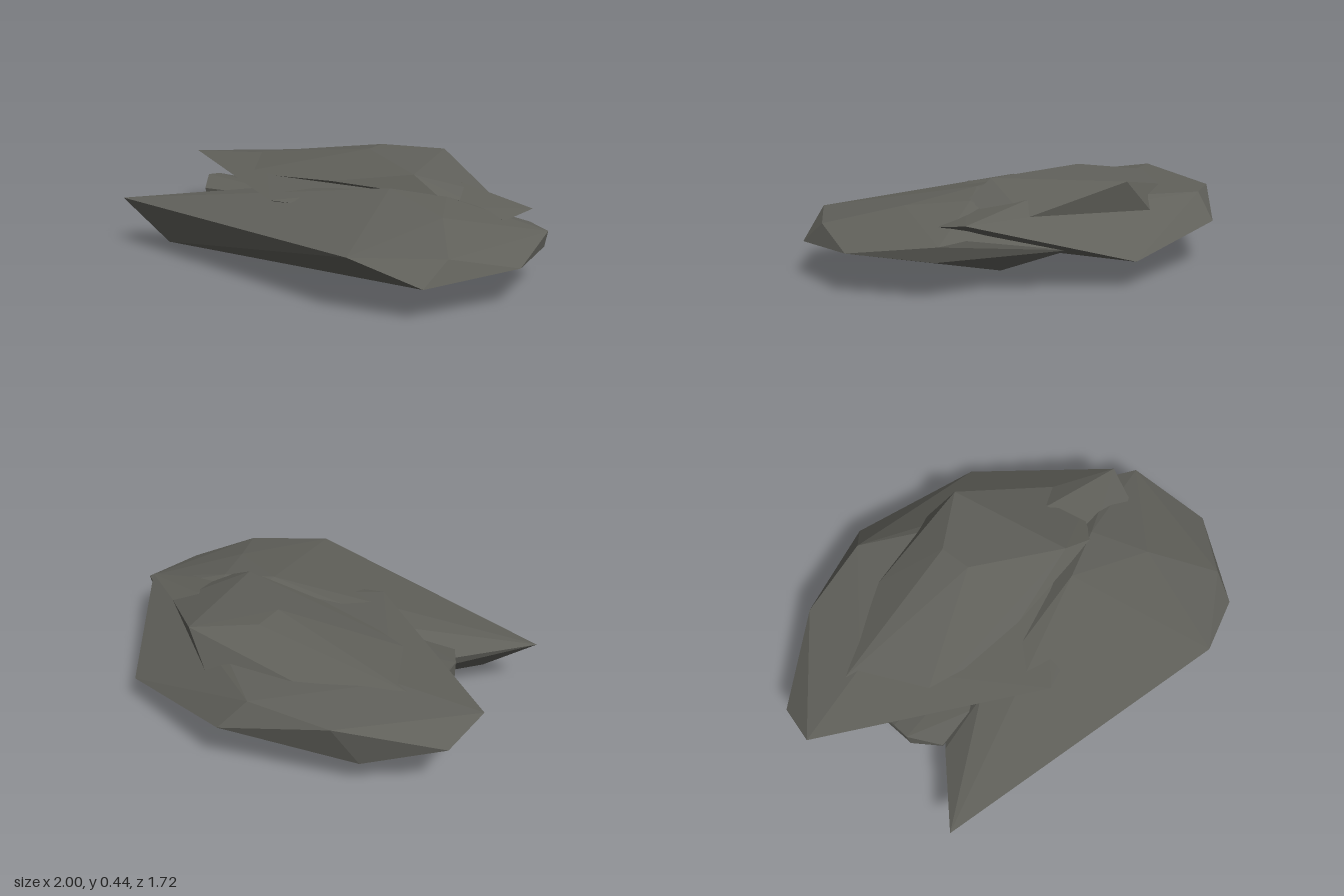
import * as THREE from 'three';
import { ConvexGeometry } from 'three/addons/geometries/ConvexGeometry.js';

const stone = new THREE.MeshStandardMaterial({ color: 0x60605a });
stone.name = 'dark stone';

// A faceted rock wrapped around its corner points
function rock(name, corners) {
  const mesh = new THREE.Mesh(
    new ConvexGeometry(corners.map((p) => new THREE.Vector3(...p))), stone);
  mesh.name = name;
  return mesh;
}

export function createModel() {
  const group = new THREE.Group();
  group.name = 'flatRocks';

  group.add(rock('frontSlab', [
    // rim
    [-0.97, 0.23, 0.35], [0.39, 0.25, 0.855], [0.69, 0.145, 0.81], [0.75, 0.24, 0.69],
    [0.985, 0.17, 0.48], [1, 0.22, 0.08], [0.99, 0.155, 0.1], [0.9, 0.23, 0],
    // top ridge
    [0.62, 0.31, 0.37], [0.3, 0.355, 0.15], [0.55, 0.33, 0.1], [-0.4, 0.28, 0.12],
    // underside
    [-0.72, 0.045, 0.36], [0.2, 0, 0.17], [0.67, 0.065, -0.07], [-0.67, 0.2, 0.11],
    [-0.3, 0.075, -0.15], [0.5, 0.13, -0.32],
  ]));

  group.add(rock('backSlab', [
    // rim
    [-1, 0.31, -0.4], [-0.93, 0.22, -0.59], [-0.5, 0.285, -0.775], [-0.12, 0.305, -0.78],
    [-0.02, 0.19, -0.86], [0.58, 0.115, -0.62], [0.91, 0.29, 0], [0.83, 0.265, 0.14],
    [-0.19, 0.3, 0.36], [-0.1, 0.295, 0.35],
    // top shoulders
    [-0.6, 0.332, -0.4], [0.55, 0.34, -0.14],
    // underside
    [-0.6, 0.115, -0.71], [0, 0.04, -0.44], [0.2, 0.05, -0.2],
  ]));

  group.add(rock('topSlab', [
    // crown
    [0.38, 0.405, 0.06], [0.04, 0.435, -0.25], [0.05, 0.43, -0.4], [0.33, 0.405, -0.53],
    // rim
    [-0.02, 0.34, 0.07], [0.52, 0.33, 0.12], [0.63, 0.29, 0], [0.67, 0.29, -0.18],
    [0.2, 0.265, -0.61], [-0.02, 0.335, -0.56], [-0.22, 0.32, -0.58],
    [-0.67, 0.325, -0.43], [-0.57, 0.3, -0.07],
    // buried base
    [0, 0.2, -0.2],
  ]));

  group.add(rock('lowerStone', [
    // exposed left corner
    [-0.735, 0.28, -0.05], [-0.73, 0.17, -0.04], [-0.72, 0.27, -0.13],
    [-0.67, 0.25, 0.1], [-0.66, 0.18, 0.09], [-0.47, 0.25, 0.11], [-0.45, 0.17, 0.1],
    // underside beneath the back slab
    [-0.7, 0.2, -0.3], [-0.55, 0.115, -0.6], [0, 0.045, -0.42], [0.15, 0.055, -0.1],
    [0, 0.2, 0],
  ]));

  return group;
}
